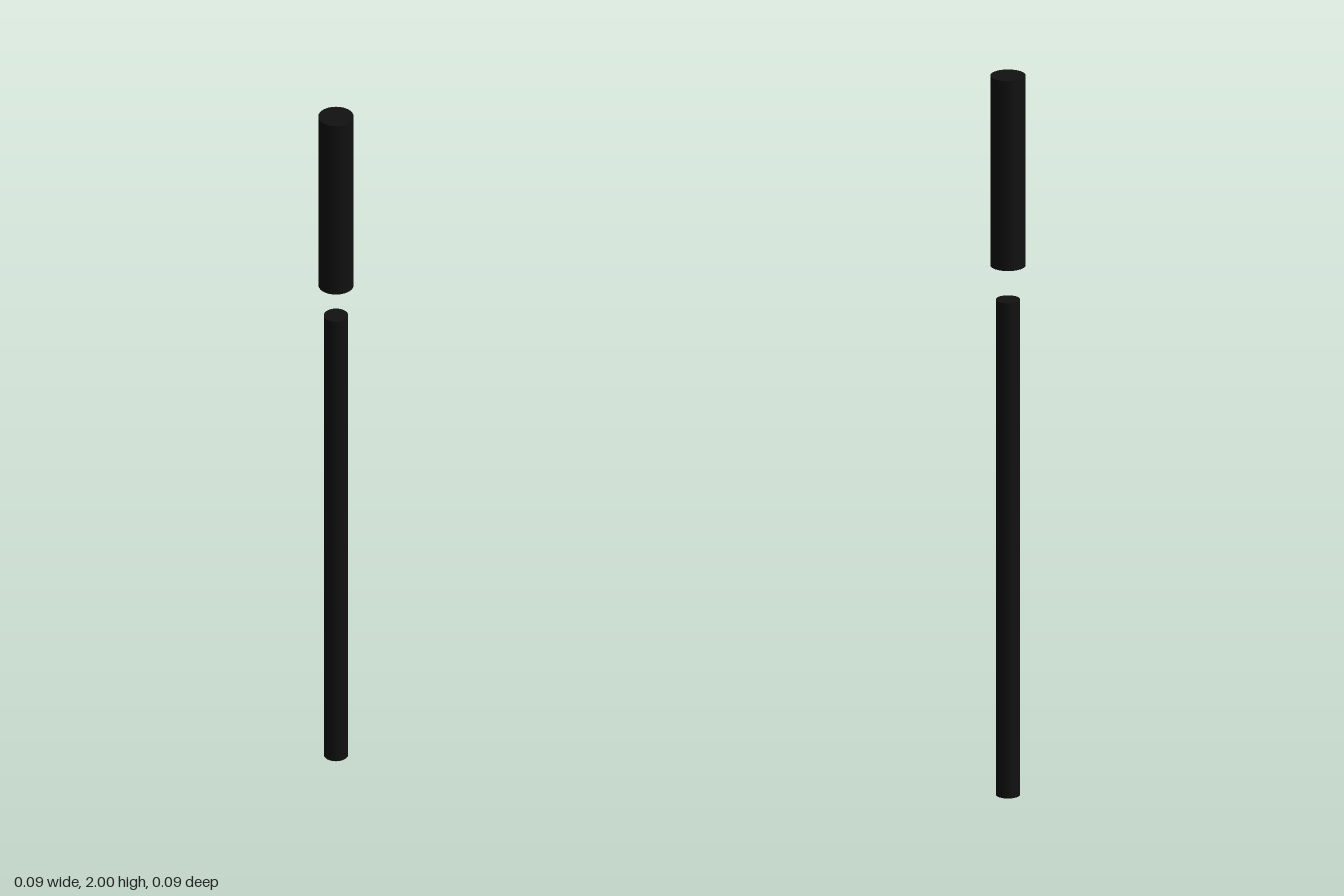
import * as THREE from 'three';

export function createModel() {
  const group = new THREE.Group();
  const black = new THREE.MeshStandardMaterial({ color: 0x111111 });

  // Upright capped cylinder spanning bottom to top
  function addRod(name, radius, bottom, top) {
    const geometry = new THREE.CylinderGeometry(radius, radius, top - bottom, 32);
    const mesh = new THREE.Mesh(geometry, black);
    mesh.name = name;
    mesh.position.y = (bottom + top) / 2;
    group.add(mesh);
  }

  // Slim lower rod and the thicker grip floating above it
  addRod('shaft', 0.032, 0, 1.377);
  addRod('grip', 0.0465, 1.472, 2);

  return group;
}
